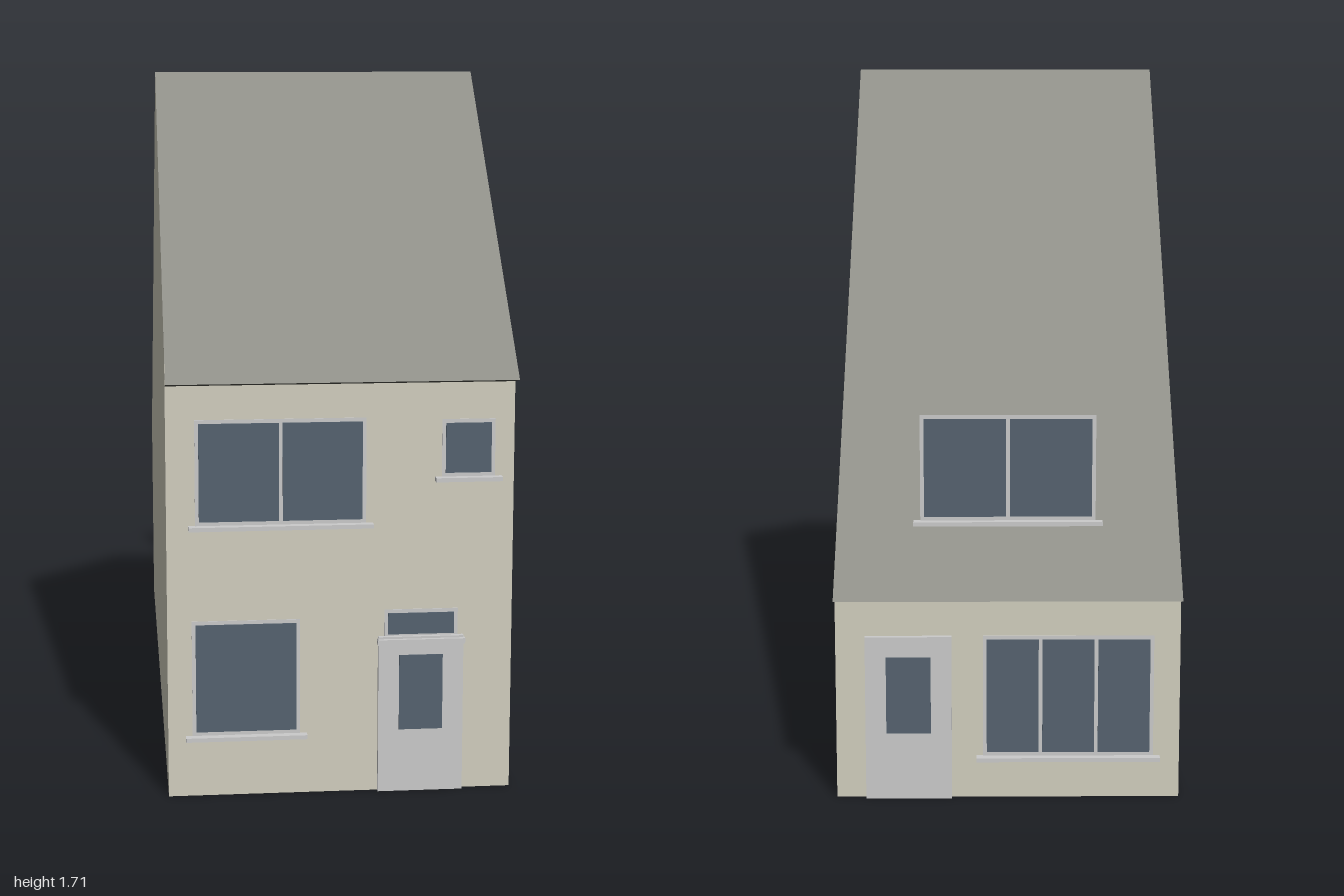
import * as THREE from 'three';

const W = 0.826, HALF = W / 2, WALL_Z = 0.945;

const mat = (color, side = THREE.FrontSide) =>
  new THREE.MeshStandardMaterial({ color, side, flatShading: true });

export function createModel() {
  const house = new THREE.Group();
  house.name = 'house';

  const wall = mat(0xd2cfbf, THREE.DoubleSide);
  const slate = mat(0x8f8f88, THREE.DoubleSide);
  const dark = mat(0x55554f, THREE.DoubleSide);
  const grey = mat(0xcccccc);
  const glass = mat(0x566370);

  const add = (parent, name, geometry, material) => {
    const mesh = new THREE.Mesh(geometry, material);
    mesh.name = name;
    parent.add(mesh);
    return mesh;
  };

  // Full-width flat panel between two [z, y] points of the house section
  const panel = (name, [z0, y0], [z1, y1], material) => {
    const geo = new THREE.PlaneGeometry(W, Math.hypot(z1 - z0, y1 - y0));
    const mesh = add(house, name, geo, material);
    mesh.position.set(0, (y0 + y1) / 2, (z0 + z1) / 2);
    mesh.rotation.x = Math.atan2(z1 - z0, y1 - y0);
  };

  // Box given by its x, y and z limits
  const block = (parent, name, x0, x1, y0, y1, z0, z1, material) => {
    const mesh = add(parent, name, new THREE.BoxGeometry(x1 - x0, y1 - y0, z1 - z0), material);
    mesh.position.set((x0 + x1) / 2, (y0 + y1) / 2, (z0 + z1) / 2);
  };

  // Section points
  const frontTop = [WALL_Z, 1.062], ridge = [0.27, 1.71], backTop = [-WALL_Z, 0.557];
  const frontEave = [1, 1.01], backEave = [-1, 0.505];

  // Gable walls
  const section = new THREE.Shape(
    [[WALL_Z, 0], frontTop, ridge, backTop, [-WALL_Z, 0]].map(([z, y]) => new THREE.Vector2(z, y)));
  for (const [name, side] of [['leftGable', 1], ['rightGable', -1]]) {
    const gable = add(house, name, new THREE.ShapeGeometry(section), wall);
    gable.rotation.y = -Math.PI / 2;
    gable.position.x = side * HALF;
  }

  // Front and back walls, upper floor, roof slopes and soffits
  panel('frontWall', [WALL_Z, 0], frontTop, wall);
  panel('backWall', [-WALL_Z, 0], backTop, wall);
  panel('upperFloor', [-WALL_Z, 0.556], [WALL_Z, 0.556], dark);
  panel('frontRoof', frontEave, ridge, slate);
  panel('backRoof', ridge, backEave, slate);
  panel('frontSoffit', frontEave, [WALL_Z, 0.998], dark);
  panel('backSoffit', backEave, [-WALL_Z, 0.493], dark);

  // Framed window with side-by-side panes and a sill
  const windowUnit = (parent, name, x0, x1, y0, y1, panes, sill = 0.016) => {
    const unit = new THREE.Group();
    unit.name = name;
    parent.add(unit);
    const rim = 0.009;
    block(unit, 'frame', x0, x1, y0, y1, 0, 0.002, grey);
    const step = (x1 - x0 - rim) / panes;
    for (let i = 0; i < panes; i++) {
      const left = x0 + rim + i * step;
      block(unit, 'pane', left, left + step - rim, y0 + rim, y1 - rim, 0.001, 0.004, glass);
    }
    block(unit, 'sill', x0 - sill, x1 + sill, y0 - 0.01, y0, 0, 0.021, grey);
  };

  // Door leaf with one glazed panel
  const door = (parent, name, x0, x1, height, g0, g1) => {
    const unit = new THREE.Group();
    unit.name = name;
    parent.add(unit);
    block(unit, 'leaf', x0, x1, 0, height, 0, 0.012, grey);
    block(unit, 'pane', x0 + 0.05, x1 - 0.05, g0, g1, 0.011, 0.014, glass);
  };

  // Front openings
  const front = new THREE.Group();
  front.name = 'frontOpenings';
  front.position.z = WALL_Z;
  house.add(front);
  windowUnit(front, 'wideUpperWindow', -0.345, 0.06, 0.664, 0.917, 2);
  windowUnit(front, 'smallUpperWindow', 0.24, 0.367, 0.772, 0.91, 1);
  windowUnit(front, 'lowerWindow', -0.355, -0.097, 0.15, 0.432, 1);
  windowUnit(front, 'fanlight', 0.105, 0.282, 0.38, 0.45, 1);
  door(front, 'frontDoor', 0.09, 0.295, 0.385, 0.155, 0.34);
  block(front, 'doorCanopy', 0.088, 0.297, 0.367, 0.378, 0, 0.021, grey);

  // Back openings, turned to face the rear
  const back = new THREE.Group();
  back.name = 'backOpenings';
  back.position.z = -WALL_Z;
  back.rotation.y = Math.PI;
  house.add(back);
  door(back, 'backDoor', -0.342, -0.135, 0.405, 0.165, 0.355);
  windowUnit(back, 'wideLowerWindow', -0.06, 0.35, 0.105, 0.405, 3);

  // Upper back window stands clear of the roof slope
  const upper = new THREE.Group();
  upper.position.z = 0.004;
  upper.name = 'upperBackOpening';
  back.add(upper);
  windowUnit(upper, 'upperBackWindow', -0.207, 0.207, 0.69, 0.943, 2);

  return house;
}
